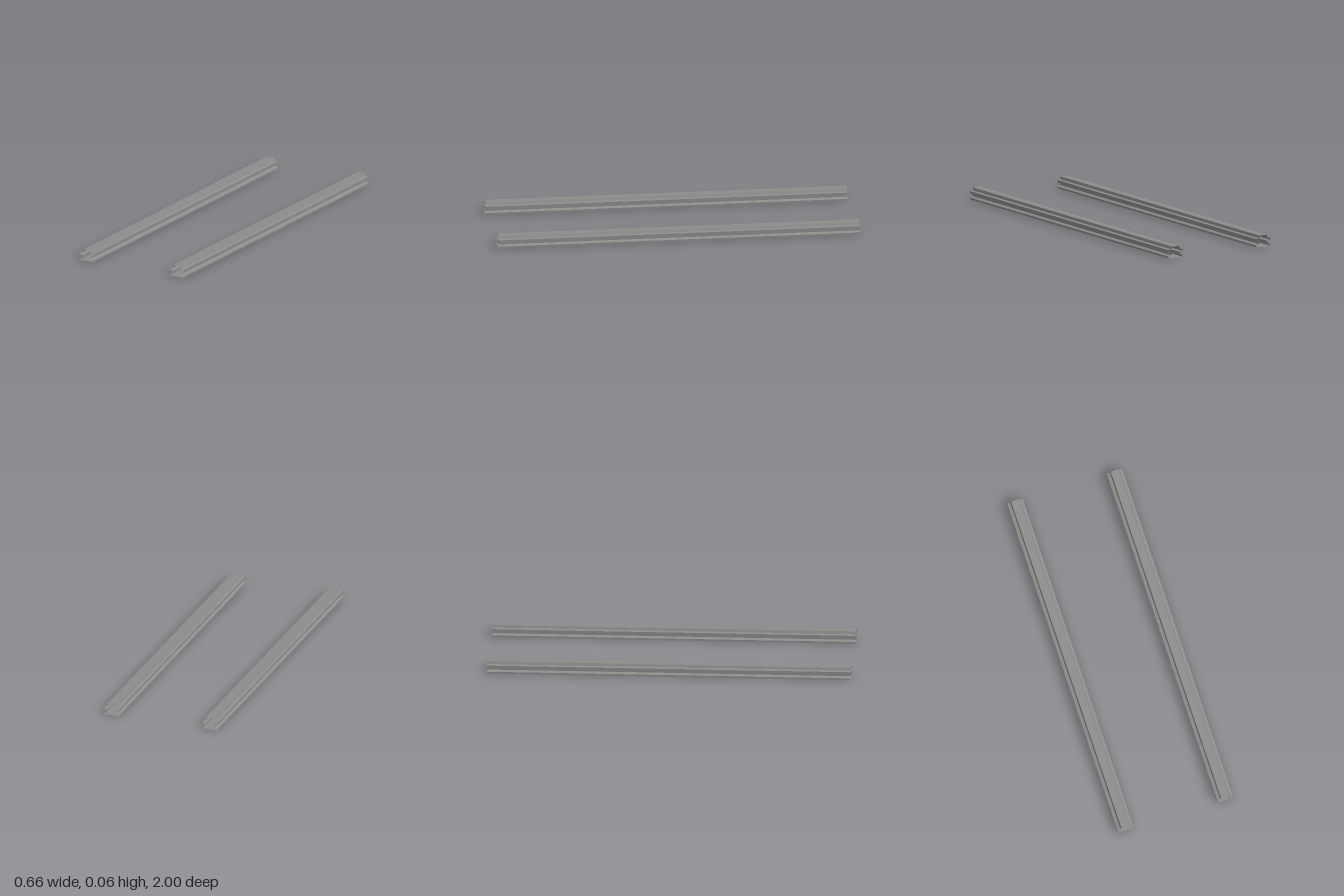
import * as THREE from 'three';

// Right half of the hollow rail section, from base centre up to head centre
const HALF = [
  [0.045, 0], [0.045, 0.01],       // foot
  [0.028, 0.017], [0.028, 0.029],  // waist
  [0.045, 0.032], [0.045, 0.046],  // flange
  [0.028, 0.049], [0.023, 0.064],  // head
];

// Sweeps the closed section along z as a thin, open-ended, flat-shaded shell
function sweep(section, length) {
  const pos = [];
  const h = length / 2;
  section.forEach(([x0, y0], i) => {
    const [x1, y1] = section[(i + 1) % section.length];
    pos.push(x0, y0, h, x0, y0, -h, x1, y1, -h);
    pos.push(x0, y0, h, x1, y1, -h, x1, y1, h);
  });
  const g = new THREE.BufferGeometry();
  g.setAttribute('position', new THREE.Float32BufferAttribute(pos, 3));
  g.computeVertexNormals();
  return g;
}

export function createModel() {
  const group = new THREE.Group();
  group.name = 'railPair';
  const steel = new THREE.MeshStandardMaterial({ color: 0x8c8e8b, side: THREE.DoubleSide });
  steel.name = 'steel grey';

  const mirrored = HALF.map(([x, y]) => [-x, y]).reverse();
  const geometry = sweep([...HALF, ...mirrored], 2);

  // Two parallel rails
  for (const [name, x] of [['leftRail', 0.287], ['rightRail', -0.287]]) {
    const rail = new THREE.Mesh(geometry, steel);
    rail.name = name;
    rail.position.x = x;
    group.add(rail);
  }
  return group;
}
